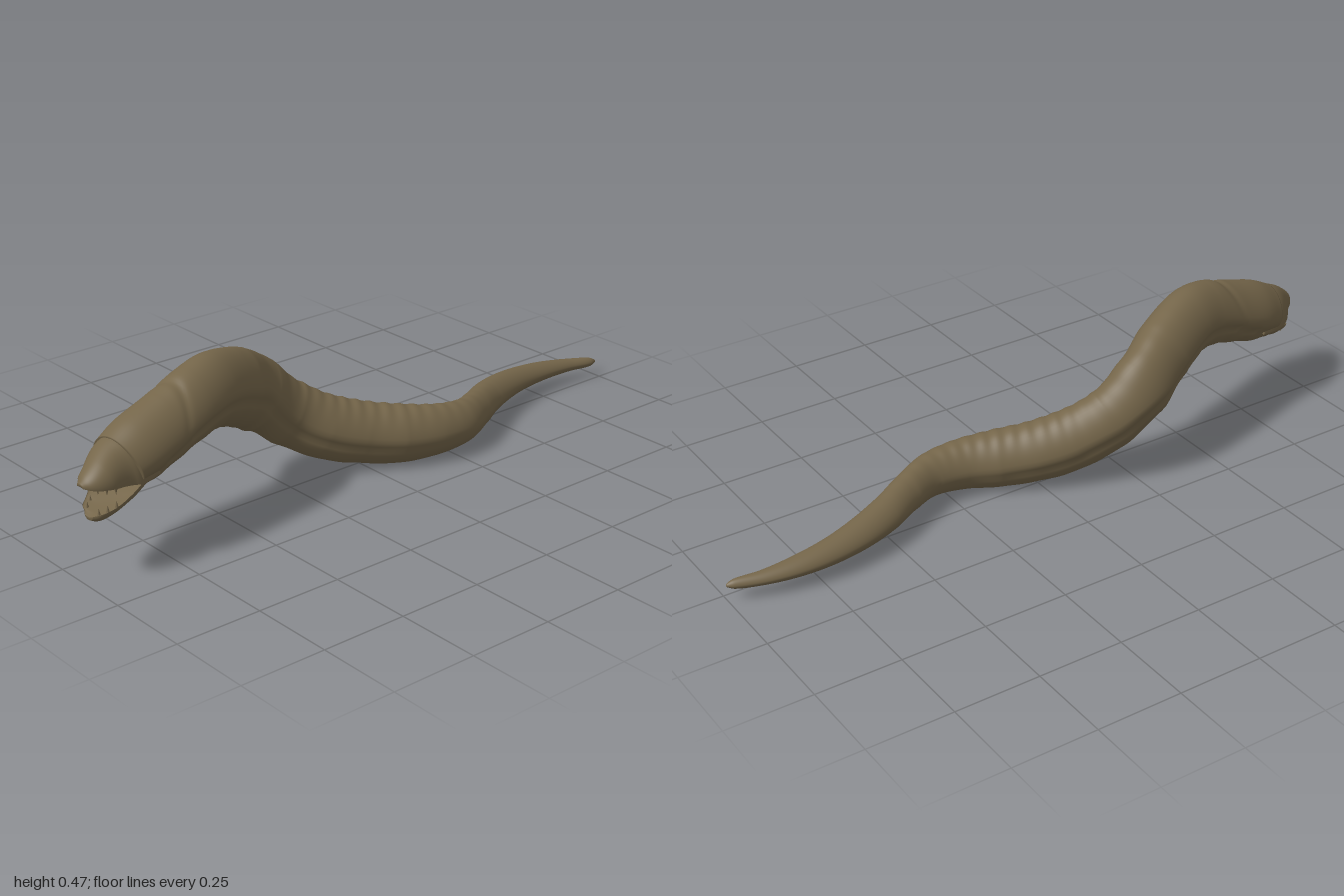
import * as THREE from 'three';

const SIDES = 48;
const bump = (v, centre, width) => Math.exp(-(((v - centre) / width) ** 2));

// Sweep a cross-section along rows of [x, top y, bottom y, min z, max z].
// section(angle, x) gives the outline as [side, up], each from -1 to 1.
function sweep(rows, steps, section) {
  const curve = (f) => new THREE.CatmullRomCurve3(rows.map(f));
  const spine = curve((r) => new THREE.Vector3(r[0], (r[1] + r[2]) / 2, (r[3] + r[4]) / 2));
  const size = curve((r) => new THREE.Vector3(r[0], (r[1] - r[2]) / 2, (r[4] - r[3]) / 2));
  const pos = [], index = [];
  const up = new THREE.Vector3(0, 1, 0);
  for (let i = 0; i <= steps; i++) {
    const c = spine.getPoint(i / steps), s = size.getPoint(i / steps);
    const t = spine.getTangent(i / steps);
    const side = t.clone().cross(up).normalize();
    const lift = side.clone().cross(t).normalize();
    const h = s.y * Math.abs(t.x) / Math.hypot(t.x, t.y);
    const w = s.z * Math.abs(t.x) / Math.hypot(t.x, t.z);
    for (let j = 0; j < SIDES; j++) {
      const [u, v] = section((j / SIDES) * Math.PI * 2, c.x);
      const p = c.clone().addScaledVector(side, u * w).addScaledVector(lift, v * h);
      pos.push(p.x, p.y, p.z);
    }
  }
  for (let i = 0; i < steps; i++) {
    for (let j = 0; j < SIDES; j++) {
      const k = (j + 1) % SIDES, a = i * SIDES, b = a + SIDES;
      index.push(a + j, b + j, b + k, a + j, b + k, a + k);
    }
  }
  // closed ends
  const first = pos.length / 3, last = steps * SIDES;
  for (const t of [0, 1]) pos.push(...spine.getPoint(t).toArray());
  for (let j = 0; j < SIDES; j++) {
    const k = (j + 1) % SIDES;
    index.push(first, j, k, first + 1, last + k, last + j);
  }
  const g = new THREE.BufferGeometry();
  g.setAttribute('position', new THREE.Float32BufferAttribute(pos, 3));
  g.setIndex(index);
  g.computeVertexNormals();
  return g;
}

// Body outline: peaked back, lateral fold, narrower belly and skin wrinkles
function bodySection(a, x) {
  const s = Math.sin(a), c = Math.cos(a);
  const fade = 1 - THREE.MathUtils.smoothstep(x, -0.25, 0.35);
  const foldAt = -0.2 - 0.25 * THREE.MathUtils.smoothstep(-x, 0.6, 0.86);
  const fold = 0.09 * bump(s, foldAt, 0.09);
  const belly = s < foldAt ? 0.07 : 0;
  const peak = 0.15 * Math.max(0, s);
  const gill = x < -0.5 ? 0.04 * bump(x, -0.7 + 0.06 * s, 0.012) * Math.max(0, s + 0.2) : 0;
  const wrinkle = 0.02 * Math.sin(x * 150) * Math.max(0, s) ** 3 * bump(x, 0.05, 0.3)
    + 0.012 * Math.sin(x * 75 + 2 * s) * Math.max(0, -s) * fade;
  const r = 1 - gill + wrinkle;
  return [c * (r - peak - fade * (fold + belly)), s * r];
}

// Jaw outlines: a dome with a slightly hollow flat side facing the mouth
const upperSection = (a) => {
  const s = Math.sin(a);
  return [Math.cos(a), s > 0 ? -1 + 2 * s : -1 - 0.3 * s];
};
const lowerSection = (a) => {
  const s = Math.sin(a);
  return [Math.cos(a), s < 0 ? 1 + 2 * s : 1 - 0.4 * s];
};

const BODY = [
  [-0.86, 0.372, 0.197, -0.022, 0.157], [-0.8, 0.402, 0.207, -0.04, 0.155],
  [-0.7, 0.435, 0.238, -0.052, 0.14], [-0.6, 0.468, 0.262, -0.07, 0.12],
  [-0.52, 0.477, 0.265, -0.096, 0.096], [-0.4, 0.452, 0.212, -0.145, 0.05],
  [-0.3, 0.4, 0.143, -0.175, 0.007], [-0.2, 0.308, 0.078, -0.162, 0.012],
  [-0.1, 0.238, 0.033, -0.125, 0.058], [0, 0.198, 0.012, -0.08, 0.105],
  [0.1, 0.176, 0.003, -0.025, 0.15], [0.2, 0.16, 0.01, 0.028, 0.17],
  [0.3, 0.147, 0.019, 0.04, 0.164], [0.4, 0.135, 0.026, 0, 0.12],
  [0.5, 0.122, 0.03, -0.053, 0.067], [0.6, 0.11, 0.031, -0.085, 0.024],
  [0.7, 0.098, 0.031, -0.098, -0.006], [0.8, 0.086, 0.032, -0.095, -0.02],
  [0.9, 0.073, 0.034, -0.073, -0.022], [0.98, 0.063, 0.037, -0.04, -0.012],
  [0.999, 0.054, 0.046, -0.027, -0.018],
];
const UPPER_JAW = [
  [-0.8, 0.39, 0.25, -0.02, 0.135], [-0.88, 0.362, 0.249, -0.01, 0.158],
  [-0.94, 0.33, 0.26, 0.038, 0.158], [-0.98, 0.302, 0.266, 0.066, 0.142],
  [-0.999, 0.283, 0.272, 0.09, 0.118],
];
const LOWER_JAW = [
  [-0.8, 0.26, 0.217, 0, 0.12], [-0.88, 0.235, 0.193, 0.012, 0.15],
  [-0.93, 0.214, 0.18, 0.045, 0.155], [-0.965, 0.203, 0.173, 0.07, 0.147],
  [-0.982, 0.193, 0.18, 0.095, 0.125],
];

export function createModel() {
  const group = new THREE.Group();
  const skin = new THREE.MeshStandardMaterial({ color: 0x75664a });
  skin.name = 'olive brown skin';
  const add = (name, geometry) => {
    const mesh = new THREE.Mesh(geometry, skin);
    mesh.name = name;
    group.add(mesh);
    return mesh;
  };

  add('body', sweep(BODY, 320, bodySection));
  add('upperJaw', sweep(UPPER_JAW, 32, upperSection));
  add('lowerJaw', sweep(LOWER_JAW, 32, lowerSection));

  // small teeth along both jaws: x, upper lip y, lower lip y, near and far z
  const tooth = new THREE.ConeGeometry(0.005, 0.02, 8);
  for (const [x, yu, yl, z0, z1] of [
    [-0.92, 0.254, 0.22, 0.04, 0.145],
    [-0.945, 0.258, 0.214, 0.064, 0.142],
    [-0.965, 0.262, 0.207, 0.08, 0.132],
  ]) {
    for (const z of [z0, z1]) {
      const upper = add('upperTooth', tooth);
      upper.position.set(x, yu, z);
      upper.rotation.x = Math.PI;
      add('lowerTooth', tooth).position.set(x, yl - 0.002, z);
    }
  }
  return group;
}
